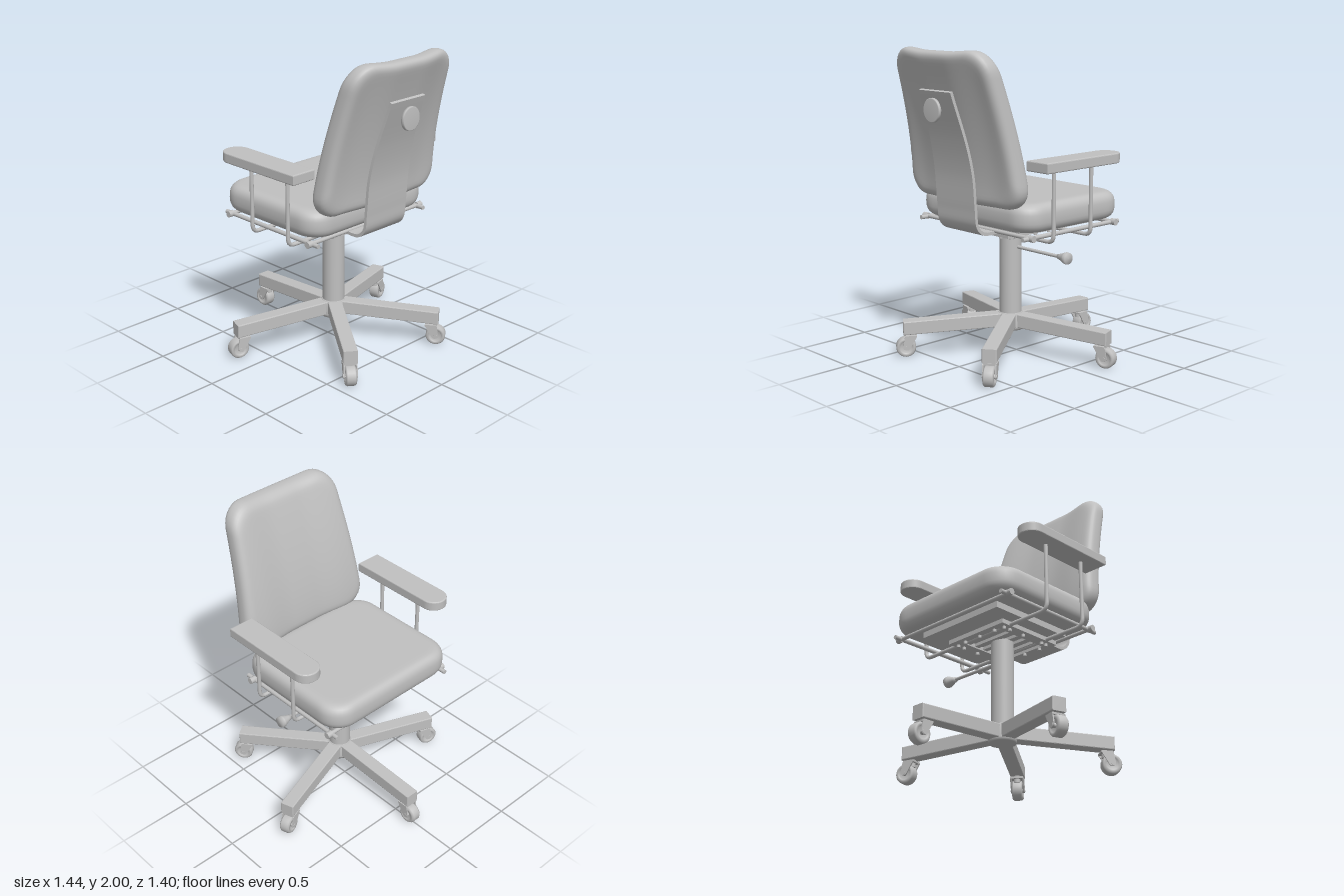
import * as THREE from 'three';
import { mergeVertices } from 'three/addons/utils/BufferGeometryUtils.js';
import { ParametricGeometry } from 'three/addons/geometries/ParametricGeometry.js';

const V2 = (x, y) => new THREE.Vector2(x, y);
const V3 = (x, y, z) => new THREE.Vector3(x, y, z);
const grey = new THREE.MeshStandardMaterial({ color: 0xc0c0c0 });
grey.name = 'grey';
const AXIS_Z = 0.053; // the column and base sit slightly behind the centre

function add(parent, name, geometry, x = 0, y = 0, z = 0) {
  const mesh = new THREE.Mesh(geometry, grey);
  mesh.name = name;
  mesh.position.set(x, y, z);
  parent.add(mesh);
  return mesh;
}

// Polygon with rounded corners, counter-clockwise
function roundedShape(corners, radii) {
  const shape = new THREE.Shape();
  const n = corners.length;
  corners.forEach((c, i) => {
    const toward = (o) => c.clone().add(o.clone().sub(c).setLength(radii[i]));
    const a = toward(corners[(i + n - 1) % n]);
    const b = toward(corners[(i + 1) % n]);
    if (i === 0) shape.moveTo(a.x, a.y);
    else shape.lineTo(a.x, a.y);
    const k = 0.56;
    const h1 = a.clone().lerp(c, k), h2 = b.clone().lerp(c, k);
    shape.bezierCurveTo(h1.x, h1.y, h2.x, h2.y, b.x, b.y);
  });
  shape.closePath();
  return shape;
}

// Padded slab: the outline lies in x/y, the padding runs along z
function cushion(shape, centre, half, edge) {
  const N = 120;
  const pts = shape.getSpacedPoints(N);
  const soft = (v) => Math.sign(v) * Math.pow(Math.abs(v), 0.75);
  const geo = new ParametricGeometry((u, v, target) => {
    let s, h;
    if (v < 0.3 || v > 0.7) {
      const t = Math.min(v, 1 - v) / 0.3;
      s = t * (1 - edge);
      h = v < 0.5 ? -1 : 1;
    } else {
      const a = ((v - 0.5) / 0.4) * Math.PI;
      s = 1 - edge + edge * soft(Math.max(0, Math.cos(a)));
      h = soft(Math.sin(a));
    }
    const p = pts[Math.round(u * N) % N];
    target.set(centre.x + (p.x - centre.x) * s, centre.y + (p.y - centre.y) * s, h * half);
  }, N, 40);
  geo.deleteAttribute('normal');
  geo.deleteAttribute('uv');
  return mergeVertices(geo, 1e-5);
}

function bend(geo, rule) {
  const pos = geo.attributes.position;
  const p = new THREE.Vector3();
  for (let i = 0; i < pos.count; i++) {
    rule(p.fromBufferAttribute(pos, i));
    pos.setXYZ(i, p.x, p.y, p.z);
  }
  geo.computeVertexNormals();
  return geo;
}

function rod(parent, name, length, radius, axis, x, y, z) {
  const mesh = add(parent, name, new THREE.CylinderGeometry(radius, radius, length, 16), x, y, z);
  if (axis === 'x') mesh.rotation.z = Math.PI / 2;
  if (axis === 'z') mesh.rotation.x = Math.PI / 2;
  return mesh;
}

const lathe = (points, n = 28) => new THREE.LatheGeometry(points.map((p) => V2(...p)), n);

function makeLeg() {
  const leg = new THREE.Group();
  leg.name = 'leg';
  // Sloping beam along +x
  const side = new THREE.Shape([V2(0, 0.192), V2(0.694, 0.156), V2(0.694, 0.232), V2(0, 0.27)]);
  const beam = new THREE.ExtrudeGeometry(side, { depth: 0.08, bevelSize: 0.006, bevelThickness: 0.006, bevelSegments: 2 });
  add(leg, 'legBeam', beam, 0, 0, -0.04);
  // Caster
  rod(leg, 'casterStem', 0.06, 0.022, 'y', 0.645, 0.135, 0);
  const wheel = lathe([[0, -0.022], [0.036, -0.022], [0.04, -0.034], [0.056, -0.034], [0.064, -0.024],
    [0.064, 0.024], [0.056, 0.034], [0.04, 0.034], [0.036, 0.022], [0, 0.022]]);
  add(leg, 'casterWheel', wheel, 0.683, 0.064, 0).rotation.x = Math.PI / 2;
  rod(leg, 'casterAxle', 0.094, 0.014, 'z', 0.683, 0.064, 0);
  const cheek = roundedShape([V2(0.61, 0.142), V2(0.668, 0.045), V2(0.705, 0.055), V2(0.69, 0.142)], [0.01, 0.012, 0.012, 0.01]);
  for (const s of [-1, 1]) {
    add(leg, 'casterFork', new THREE.ExtrudeGeometry(cheek, { depth: 0.008, bevelEnabled: false }), 0, 0, s * 0.04 - 0.004);
  }
  add(leg, 'casterBridge', new THREE.BoxGeometry(0.075, 0.012, 0.088), 0.65, 0.138, 0);
  return leg;
}

export function createModel() {
  const chair = new THREE.Group();
  chair.name = 'officeChair';

  // Five-legged base, hub and column
  const base = new THREE.Group();
  base.name = 'base';
  base.position.z = AXIS_Z;
  chair.add(base);
  for (let k = 0; k < 5; k++) {
    const leg = makeLeg();
    leg.rotation.y = Math.PI / 2 + (k * Math.PI * 2) / 5;
    base.add(leg);
  }
  add(base, 'hub', lathe([[0, 0.165], [0.085, 0.165], [0.09, 0.185], [0.085, 0.265], [0.072, 0.278], [0, 0.278]], 32));
  add(base, 'column', new THREE.CylinderGeometry(0.072, 0.072, 0.59, 40), 0, 0.55, 0);

  // Height lever
  rod(base, 'leverRod', 0.4, 0.011, 'x', 0.25, 0.715, 0);
  const grip = lathe([[0, 0], [0.016, 0], [0.02, 0.02], [0.036, 0.06], [0.038, 0.068], [0.036, 0.088], [0, 0.09]]);
  add(base, 'leverGrip', grip, 0.43, 0.715, 0).rotation.z = -Math.PI / 2;

  // Mechanism under the seat
  add(chair, 'seatPan', new THREE.BoxGeometry(0.66, 0.05, 0.62), 0, 0.885, -0.02);
  const mz = 0.055;
  for (const s of [-1, 1]) {
    add(chair, 'mechanismSide', new THREE.BoxGeometry(0.08, 0.03, 0.49), s * 0.2, 0.847, mz);
    add(chair, 'mechanismEnd', new THREE.BoxGeometry(0.48, 0.03, 0.05), 0, 0.847, mz + s * 0.22);
  }
  for (let i = -2; i <= 2; i++) {
    add(chair, 'mechanismSlat', new THREE.BoxGeometry(0.36, 0.02, 0.035), 0, 0.85, mz + i * 0.075);
  }
  for (const z of [0.24, 0.2, 0.03, -0.09, -0.14]) {
    for (const s of [-1, 1]) rod(chair, 'bolt', 0.022, 0.012, 'y', s * 0.205, 0.825, z);
  }
  for (const x of [-0.13, 0, 0.13]) {
    for (const z of [0.26, -0.15]) rod(chair, 'bolt', 0.022, 0.012, 'y', x, 0.825, z);
  }

  // Seat frame rods
  for (const z of [0.345, -0.387]) {
    rod(chair, 'crossRod', 1.0, 0.013, 'x', 0, 0.88, z);
    for (const s of [-1, 1]) rod(chair, 'rodCap', 0.04, 0.021, 'x', s * 0.493, 0.88, z);
  }
  for (const s of [-1, 1]) rod(chair, 'sideRod', 0.85, 0.014, 'z', s * 0.475, 0.878, -0.02);

  // Seat cushion
  const seatShape = roundedShape([V2(-0.51, -0.405), V2(0.51, -0.405), V2(0.51, 0.467), V2(-0.51, 0.467)], [0.14, 0.14, 0.15, 0.15]);
  const seat = cushion(seatShape, V2(0, 0.03), 0.09, 0.16);
  seat.rotateX(-Math.PI / 2);
  seat.computeVertexNormals();
  add(chair, 'seatCushion', seat, 0, 0.99, 0);

  // Backrest: tapered, reclined and slightly wrapped forward at the sides
  const backShape = roundedShape([V2(-0.505, 1.05), V2(0.505, 1.05), V2(0.415, 2), V2(-0.415, 2)], [0.14, 0.14, 0.14, 0.14]);
  const back = bend(cushion(backShape, V2(0, 1.525), 0.07, 0.16), (p) => {
    const t = Math.max(0, p.y - 1.1);
    const wing = THREE.MathUtils.smoothstep(Math.abs(p.x), 0.1, 0.36);
    p.z += 0.428 + 0.25 * Math.pow(t, 1.5) - 0.022 * wing;
    p.y -= 0.015 * (1 - wing) * (t / 0.9);
  });
  add(chair, 'backrest', back);

  // Curved support strap behind the backrest
  const path = new THREE.CatmullRomCurve3([[0.33, 0.87], [0.44, 0.874], [0.49, 0.92], [0.505, 1.03],
    [0.525, 1.25], [0.568, 1.45], [0.665, 1.75]].map(([z, y]) => V3(0, y, z)));
  const strap = bend(new THREE.BoxGeometry(1, 1, 1, 1, 48, 1), (p) => {
    const t = p.y + 0.5;
    const c = path.getPointAt(t), d = path.getTangentAt(t);
    const halfWidth = 0.175 - 0.03 * THREE.MathUtils.smoothstep(c.y, 1.15, 1.8);
    p.set(p.x * 2 * halfWidth, c.y - d.z * p.z * 0.02, c.z + d.y * p.z * 0.02);
  });
  add(chair, 'backSupport', strap);

  // Backrest adjusting knob
  const knob = lathe([[0, 0], [0.02, 0], [0.02, 0.045], [0.035, 0.06], [0.062, 0.078], [0.074, 0.083], [0.074, 0.097], [0.068, 0.102], [0, 0.102]], 36);
  add(chair, 'backKnob', knob, 0, 1.635, 0.6).rotation.x = Math.PI / 2;

  // Armrest pads, rounded at the front end
  const pad = new THREE.Shape();
  const w = 0.078;
  pad.moveTo(-w, -0.348);
  pad.lineTo(w, -0.348);
  pad.lineTo(w, 0.245);
  pad.absarc(0, 0.245, w, 0, Math.PI, false);
  pad.closePath();
  const padGeo = new THREE.ExtrudeGeometry(pad, { depth: 0.049, bevelSize: 0.008, bevelThickness: 0.008, bevelSegments: 3, curveSegments: 24 });
  padGeo.rotateX(-Math.PI / 2);
  for (const s of [-1, 1]) add(chair, s > 0 ? 'leftArmrest' : 'rightArmrest', padGeo, s * 0.545, 1.293, 0);

  // U-shaped armrest tubes passing under the seat
  const X = 0.542, Y = 0.843, R = 0.05;
  for (const z of [0.21, -0.116]) {
    const tube = new THREE.CurvePath();
    tube.add(new THREE.LineCurve3(V3(-X, 1.3, z), V3(-X, Y + R, z)));
    tube.add(new THREE.QuadraticBezierCurve3(V3(-X, Y + R, z), V3(-X, Y, z), V3(-X + R, Y, z)));
    tube.add(new THREE.LineCurve3(V3(-X + R, Y, z), V3(X - R, Y, z)));
    tube.add(new THREE.QuadraticBezierCurve3(V3(X - R, Y, z), V3(X, Y, z), V3(X, Y + R, z)));
    tube.add(new THREE.LineCurve3(V3(X, Y + R, z), V3(X, 1.3, z)));
    add(chair, 'armrestTube', new THREE.TubeGeometry(tube, 120, 0.013, 12));
  }
  return chair;
}
